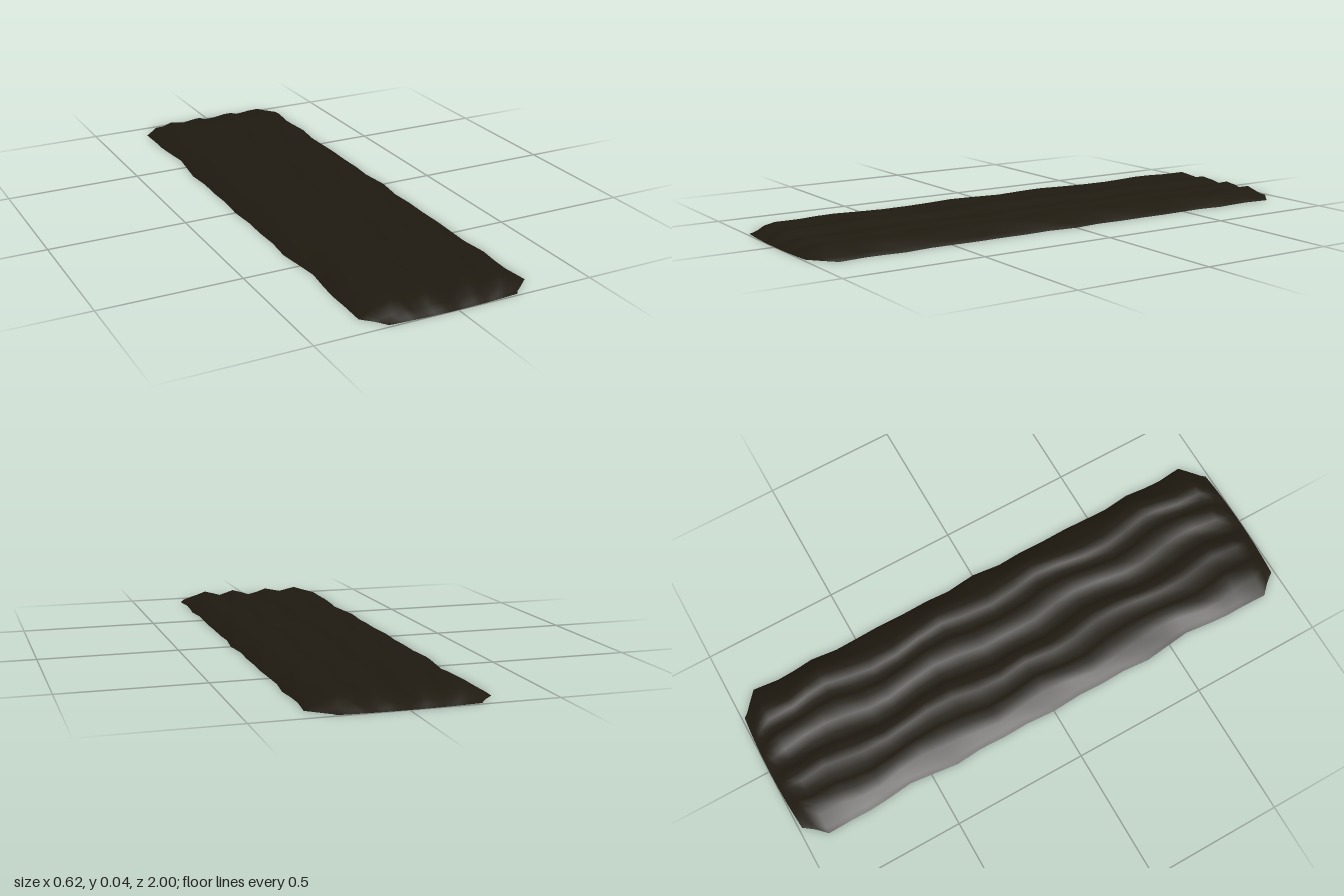
import * as THREE from 'three';

// Skin a list of equal-length rows of [x, y, z] points
function skin(rows, flip = false) {
  const n = rows[0].length, index = [];
  for (let r = 0; r < rows.length - 1; r++) {
    for (let c = 0; c < n - 1; c++) {
      const a = r * n + c, b = a + 1, d = a + n, e = d + 1;
      if (flip) index.push(a, b, d, b, e, d);
      else index.push(a, d, b, b, d, e);
    }
  }
  const g = new THREE.BufferGeometry();
  g.setAttribute('position', new THREE.Float32BufferAttribute(rows.flat(2), 3));
  g.setIndex(index);
  g.computeVertexNormals();
  return g;
}

// Cross-section of the bark: x, height
const PROFILE = [
  [-0.302, 0], [-0.285, 0.012], [-0.24, 0.028], [-0.204, 0.04], [-0.17, 0.033], [-0.137, 0.026],
  [-0.1, 0.034], [-0.07, 0.04], [-0.035, 0.028], [0, 0.016], [0.04, 0.029], [0.08, 0.04],
  [0.11, 0.031], [0.14, 0.022], [0.17, 0.031], [0.204, 0.04], [0.24, 0.028], [0.285, 0.012], [0.302, 0],
];

// Rows along half the length: distance from the middle, right edge, left edge, height factor
const HALF = [
  [0, 0.307, 0.307, 1], [0.11, 0.3, 0.295, 1], [0.2, 0.303, 0.3, 1], [0.3, 0.3, 0.298, 1],
  [0.4, 0.308, 0.3, 1], [0.5, 0.296, 0.297, 1], [0.58, 0.287, 0.295, 1], [0.68, 0.298, 0.306, 1],
  [0.75, 0.303, 0.299, 1], [0.82, 0.302, 0.296, 1], [0.915, 0.304, 0.306, 1],
  [0.965, 0.268, 0.265, 0.55], [0.987, 0.25, 0.235, 0.2], [1, 0.24, 0.225, 0],
];
const ROWS = [...HALF.slice(1).reverse().map(([z, ...rest]) => [-z, ...rest]), ...HALF];

// Sideways meander of the grain, fading out at both ends
const meander = (z, i) => 0.015 * Math.cos(Math.abs(z) * 13 + i * 0.25) * Math.min(1, (1 - Math.abs(z)) * 6);
// Round the ends slightly
const endZ = (z, x) => (Math.abs(z) > 0.95 ? z - Math.sign(z) * 0.2 * x * x : z);

// Recessed panel of the underside
const PANEL_Z = 0.795, PANEL_Y = 0.023;
const panelHalf = (z) => 0.128 - 0.02 * Math.exp(-(((Math.abs(z) - 0.55) / 0.12) ** 2));
const clampZ = (z) => THREE.MathUtils.clamp(z, -PANEL_Z, PANEL_Z);

export function createModel() {
  const group = new THREE.Group();
  const bark = new THREE.MeshStandardMaterial({ color: 0x201b11 });
  const grey = new THREE.MeshStandardMaterial({ color: 0xcccccc });
  const add = (name, geometry, material) => {
    const mesh = new THREE.Mesh(geometry, material);
    mesh.name = name;
    group.add(mesh);
  };

  // Ridged upper side
  const top = ROWS.map(([z, right, left, h]) => PROFILE.map(([px, py], i) => {
    const edge = i < 2 || i > PROFILE.length - 3;
    const x = px * (px < 0 ? right : left) / 0.302 + (edge ? 0 : meander(z, i));
    return [x, py * h, endZ(z, x)];
  }));
  add('ridgedTop', skin(top), bark);

  // Underside rim, sloping up from the outline to the panel
  const last = PROFILE.length - 1;
  const outline = [
    ...top.map((row) => row[0]),
    ...top[top.length - 1].slice(1, last),
    ...top.map((row) => row[last]).reverse(),
    ...top[0].slice(0, last).reverse(),
  ];
  const rim = outline.map(([x, , z]) => {
    const pz = clampZ(z), w = panelHalf(pz);
    return [[x, 0, z], [THREE.MathUtils.clamp(x, -w, w), PANEL_Y, pz]];
  });
  add('undersideRim', skin(rim, true), bark);

  // Pale panel, dipping below the middle groove
  const panel = ROWS.filter(([z]) => Math.abs(z) <= 0.82).map(([z]) => {
    const pz = clampZ(z), w = panelHalf(pz);
    return [[-w, PANEL_Y, pz], [-0.06, 0.021, pz], [0, 0.011, pz], [0.06, 0.021, pz], [w, PANEL_Y, pz]];
  });
  add('undersidePanel', skin(panel, true), grey);
  return group;
}
